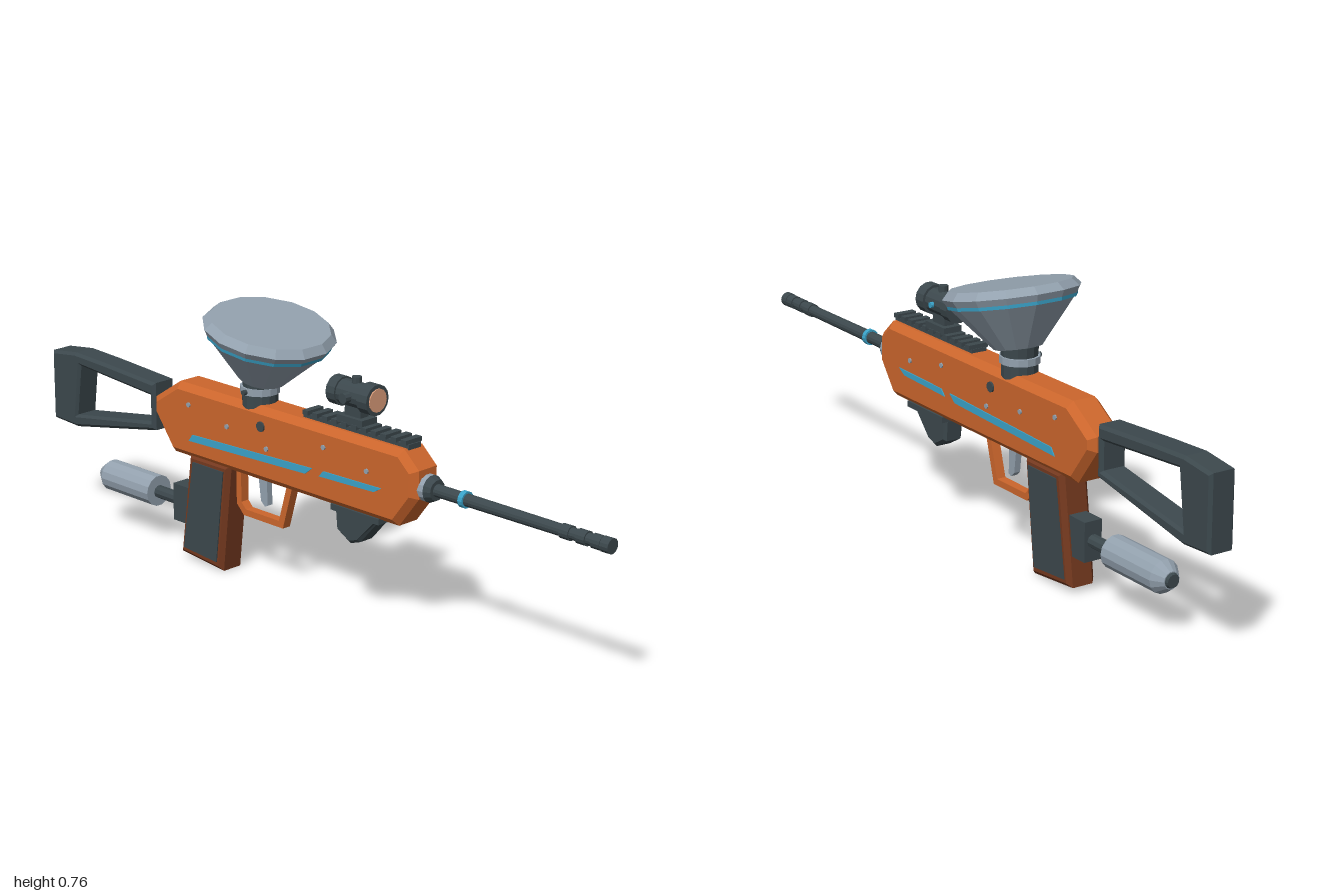
import * as THREE from 'three';

const paint = (color) => new THREE.MeshStandardMaterial({ color });

export function createModel() {
  const orange = paint(0xcc662c), brown = paint(0x75391f), dark = paint(0x3c484d);
  const steel = paint(0x93a1ae), blue = paint(0x3aa3c9), glass = paint(0xe0a07c);
  const model = new THREE.Group();

  function add(name, geometry, material, parent = model) {
    const mesh = new THREE.Mesh(geometry, material);
    mesh.name = name;
    parent.add(mesh);
    return mesh;
  }
  function facet(geometry) {
    const g = geometry.toNonIndexed();
    g.computeVertexNormals();
    return g;
  }
  const toPoints = (list) => list.map(([x, y]) => new THREE.Vector2(x, y));

  // Side profile with chamfered edges, centred on z = 0
  function plate(name, points, width, bevel, material, hole) {
    const shape = new THREE.Shape(toPoints(points));
    if (hole) shape.holes.push(new THREE.Path(toPoints(hole)));
    const g = new THREE.ExtrudeGeometry(shape, {
      depth: width - 2 * bevel, bevelEnabled: bevel > 0, bevelThickness: bevel,
      bevelSize: bevel, bevelOffset: -bevel, bevelSegments: 1,
    });
    g.translate(0, 0, -(width / 2 - bevel));
    return add(name, g, material);
  }
  // Round section between x0 and x1
  function rodX(name, x0, x1, y, r0, r1, material, sides = 14) {
    const g = facet(new THREE.CylinderGeometry(r1, r0, x1 - x0, sides));
    const mesh = add(name, g.rotateZ(-Math.PI / 2), material);
    mesh.position.set((x0 + x1) / 2, y, 0);
    return mesh;
  }
  // Round section between y0 and y1
  function rodY(name, x, y0, y1, r0, r1, material, parent = model, sides = 14) {
    const g = facet(new THREE.CylinderGeometry(r1, r0, y1 - y0, sides));
    const mesh = add(name, g, material, parent);
    mesh.position.set(x, (y0 + y1) / 2, 0);
    return mesh;
  }
  function rodZ(name, x, y, z, r, length, material, sides = 10) {
    const g = facet(new THREE.CylinderGeometry(r, r, length, sides));
    const mesh = add(name, g.rotateX(Math.PI / 2), material);
    mesh.position.set(x, y, z);
    return mesh;
  }
  function box(name, w, h, d, x, y, z, material) {
    const mesh = add(name, new THREE.BoxGeometry(w, h, d), material);
    mesh.position.set(x, y, z);
    return mesh;
  }

  // Receiver
  plate('body', [[-0.56, 0.4], [-0.485, 0.3], [0.35, 0.3], [0.415, 0.385], [0.415, 0.46],
    [0.365, 0.505], [-0.46, 0.505], [-0.56, 0.44]], 0.1, 0.018, orange);

  // Shoulder stock
  plate('stock', [[-1, 0.28], [-0.9, 0.275], [-0.565, 0.34], [-0.565, 0.475], [-0.78, 0.488],
    [-0.9, 0.493], [-1, 0.48]], 0.076, 0.008, dark,
  [[-0.9, 0.31], [-0.585, 0.362], [-0.585, 0.437], [-0.88, 0.458]]);

  // Grip with side panels
  plate('grip', [[-0.465, 0.015], [-0.3, 0], [-0.265, 0.31], [-0.425, 0.31]], 0.084, 0.012, brown);
  for (const side of [1, -1]) {
    const panel = plate('gripPanel', [[-0.445, 0.035], [-0.315, 0.025], [-0.285, 0.29],
      [-0.405, 0.29]], 0.006, 0, dark);
    panel.position.z = side * 0.042;
  }

  // Trigger and guard
  plate('triggerGuard', [[-0.265, 0.305], [-0.265, 0.2], [-0.238, 0.173], [-0.088, 0.173],
    [-0.05, 0.305], [-0.07, 0.305], [-0.103, 0.191], [-0.23, 0.191], [-0.247, 0.208],
    [-0.247, 0.305]], 0.026, 0, orange);
  plate('trigger', [[-0.185, 0.305], [-0.175, 0.228], [-0.16, 0.215], [-0.15, 0.22],
    [-0.152, 0.305]], 0.018, 0, steel);

  // Lower fore block
  plate('foreBlock', [[0.115, 0.305], [0.122, 0.23], [0.17, 0.203], [0.205, 0.215],
    [0.285, 0.305]], 0.058, 0.008, dark);
  box('foreBlockPlate', 0.17, 0.016, 0.08, 0.2, 0.294, 0, dark);

  // Air tank behind the grip
  box('tankMount', 0.085, 0.106, 0.052, -0.463, 0.148, 0, dark);
  rodX('tankPipe', -0.6, -0.5, 0.148, 0.018, 0.018, dark, 10);
  rodX('tank', -0.79, -0.595, 0.15, 0.044, 0.044, steel);
  rodX('tankNose', -0.82, -0.79, 0.15, 0.023, 0.044, steel);
  rodX('tankCap', -0.827, -0.819, 0.15, 0.017, 0.021, dark);

  // Barrel
  rodX('barrelCollar', 0.405, 0.43, 0.41, 0.036, 0.036, steel);
  rodX('barrelNut', 0.43, 0.448, 0.41, 0.036, 0.027, dark);
  rodX('barrel', 0.44, 0.99, 0.41, 0.017, 0.015, dark);
  rodX('barrelBand', 0.533, 0.547, 0.41, 0.022, 0.022, blue);
  for (const x of [0.85, 0.9, 0.945]) rodX('barrelRing', x, x + 0.028, 0.41, 0.019, 0.019, dark);
  rodX('muzzle', 0.975, 1, 0.41, 0.02, 0.02, dark);

  // Toothed top rail
  box('rail', 0.37, 0.014, 0.045, 0.185, 0.508, 0, dark);
  for (let i = 0; i < 11; i++) {
    box('railTooth', 0.019, 0.012, 0.058, 0.012 + i * 0.0345, 0.52, 0, dark);
  }

  // Scope
  box('scopeFoot', 0.09, 0.02, 0.054, 0.168, 0.532, 0, dark);
  box('scopeStem', 0.055, 0.04, 0.03, 0.168, 0.552, 0, dark);
  rodX('scopeTube', 0.12, 0.215, 0.597, 0.034, 0.034, dark);
  rodX('scopeRear', 0.095, 0.125, 0.597, 0.039, 0.039, dark);
  rodX('scopeFront', 0.205, 0.24, 0.597, 0.041, 0.041, dark);
  rodX('scopeLens', 0.238, 0.243, 0.597, 0.031, 0.031, glass);
  rodY('scopeTopDial', 0.168, 0.62, 0.645, 0.013, 0.013, dark, model, 10);
  rodZ('scopeSideDial', 0.168, 0.597, 0.04, 0.014, 0.024, dark);
  rodZ('scopeButton', 0.168, 0.597, -0.037, 0.008, 0.01, blue);

  // Feed neck with clamp
  rodY('feedNeck', -0.185, 0.49, 0.53, 0.048, 0.048, dark);
  rodY('feedClamp', -0.185, 0.528, 0.547, 0.053, 0.053, steel);
  rodY('feedTop', -0.183, 0.546, 0.575, 0.048, 0.05, dark);
  rodZ('clampKnob', -0.185, 0.537, 0.057, 0.007, 0.012, dark);

  // Tilted hopper
  const hopper = new THREE.Group();
  hopper.name = 'hopper';
  hopper.position.set(-0.178, 0.565, 0);
  hopper.rotation.z = -0.215;
  model.add(hopper);
  rodY('hopperCone', 0, 0, 0.115, 0.063, 0.161, steel, hopper);
  rodY('hopperBand', 0, 0.115, 0.124, 0.166, 0.168, blue, hopper);
  rodY('hopperRim', 0, 0.124, 0.141, 0.168, 0.178, steel, hopper);
  rodY('hopperLid', 0, 0.141, 0.161, 0.178, 0.16, steel, hopper);

  // Side details on both faces
  for (const side of [1, -1]) {
    const stripes = [
      [[-0.41, 0.351], [0.035, 0.366], [0.06, 0.386], [-0.395, 0.371]],
      [[0.085, 0.371], [0.28, 0.377], [0.305, 0.392], [0.1, 0.388]],
    ];
    for (const points of stripes) {
      plate('stripe', points, 0.006, 0, blue).position.z = side * 0.05;
    }
    const screws = [[-0.41, 0.452], [-0.26, 0.425], [-0.11, 0.398], [0.1, 0.452], [0.253, 0.425]];
    for (const [x, y] of screws) rodZ('screw', x, y, side * 0.05, 0.007, 0.008, steel, 8);
    rodZ('selector', -0.13, 0.455, side * 0.05, 0.014, 0.01, dark);
  }
  return model;
}
